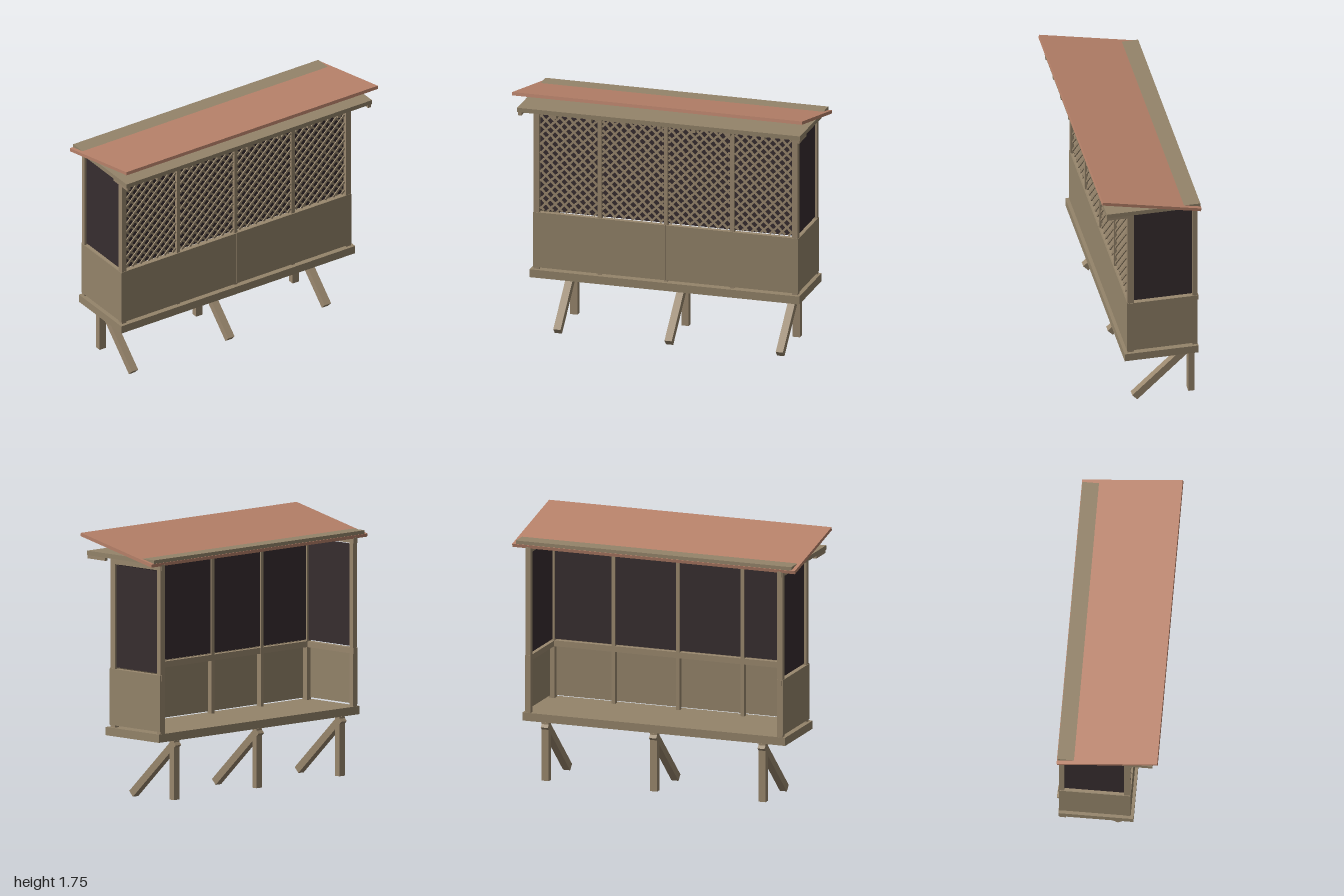
import * as THREE from 'three';

const mat = (name, color) => Object.assign(new THREE.MeshStandardMaterial({ color }), { name });

export function createModel() {
  const wood = mat('wood boards', 0x94846a);
  const frame = mat('frame timber', 0x9a886e);
  const screen = mat('dark screen', 0x372d2f);
  const tile = mat('terracotta roof', 0xb8826a);
  const model = new THREE.Group();
  model.name = 'raisedShelter';

  // Box given by its min and max on each axis
  const box = (name, m, [x0, x1], [y0, y1], [z0, z1], parent = model) => {
    const mesh = new THREE.Mesh(new THREE.BoxGeometry(x1 - x0, y1 - y0, z1 - z0), m);
    mesh.position.set((x0 + x1) / 2, (y0 + y1) / 2, (z0 + z1) / 2);
    mesh.name = name;
    parent.add(mesh);
    return mesh;
  };

  // Floor platform
  box('floor', wood, [-0.93, 0.93], [0.415, 0.47], [-0.322, 0.175]);

  // Upright legs with slanted braces
  for (const x of [-0.767, 0, 0.767]) {
    box('leg', frame, [x - 0.025, x + 0.025], [0.02, 0.415], [-0.325, -0.283]);
    const brace = box('brace', frame, [x - 0.025, x + 0.025], [0.187, 0.237], [-0.402, 0.154]);
    brace.rotation.x = 0.76;
  }

  // Side walls: posts, rails, lower board and screen
  for (const s of [-1, 1]) {
    const span = (a, b) => (s > 0 ? [a, b] : [-b, -a]);
    box('frontPost', frame, span(0.872, 0.91), [0.47, 1.6], [0.11, 0.152]);
    box('rearPost', frame, span(0.872, 0.91), [0.47, 1.6], [-0.32, -0.285]);
    box('sideTopRail', frame, span(0.875, 0.907), [1.558, 1.597], [-0.326, 0.11]);
    box('sideRail', frame, span(0.875, 0.907), [0.822, 0.86], [-0.326, 0.11]);
    box('sideBoard', wood, span(0.905, 0.914), [0.485, 0.86], [-0.318, 0.154]);
    box('sideScreen', screen, span(0.887, 0.895), [0.87, 1.55], [-0.287, 0.112]);
  }

  // Front wall: mullions, rails and two lower boards
  for (const x of [-0.457, 0, 0.457]) {
    box('mullion', frame, [x - 0.013, x + 0.013], [0.47, 1.6], [0.11, 0.147]);
  }
  box('frontTopRail', frame, [-0.872, 0.872], [1.557, 1.597], [0.112, 0.145]);
  box('frontRail', frame, [-0.872, 0.872], [0.822, 0.862], [0.112, 0.145]);
  box('frontBoard', wood, [-0.912, -0.002], [0.482, 0.865], [0.146, 0.155]);
  box('frontBoard', wood, [0.002, 0.912], [0.482, 0.865], [0.146, 0.155]);

  // Four lattice bays, each backed by a dark screen
  const bays = [[-0.872, -0.47], [-0.444, -0.013], [0.013, 0.444], [0.47, 0.872]];
  const low = 0.872, high = 1.552, step = 0.064;
  for (const [x0, x1] of bays) {
    box('frontScreen', screen, [x0, x1], [low, high], [0.118, 0.124]);
    const lattice = new THREE.Group();
    lattice.name = 'lattice';
    model.add(lattice);
    const w = x1 - x0, h = high - low;
    for (const dir of [1, -1]) {
      // Strips on the lines v = u + c, clipped to the bay
      for (let c = -w + step / 2; c < h; c += step) {
        const u0 = Math.max(0, -c), u1 = Math.min(w, h - c);
        const len = (u1 - u0) * Math.SQRT2 - 0.012;
        if (len < 0.01) continue;
        const u = (u0 + u1) / 2;
        const strip = new THREE.Mesh(new THREE.BoxGeometry(len, 0.014, 0.008), frame);
        strip.position.set(dir > 0 ? x0 + u : x1 - u, low + u + c, dir > 0 ? 0.138 : 0.13);
        strip.rotation.z = dir * Math.PI / 4;
        strip.name = 'latticeStrip';
        lattice.add(strip);
      }
    }
  }

  // Flat ceiling with short joists under its front overhang
  box('ceiling', wood, [-0.975, 0.975], [1.605, 1.635], [-0.325, 0.305]);
  for (let i = -4; i <= 4; i++) {
    const x = i * 0.2395;
    box('joist', frame, [x - 0.012, x + 0.012], [1.583, 1.606], [0.14, 0.304]);
  }

  // Sloping roof slab, higher at the front
  const roof = box('roof', tile, [-1, 1], [1.66, 1.682], [-0.333, 0.347]);
  roof.rotation.x = -0.21;

  return model;
}
